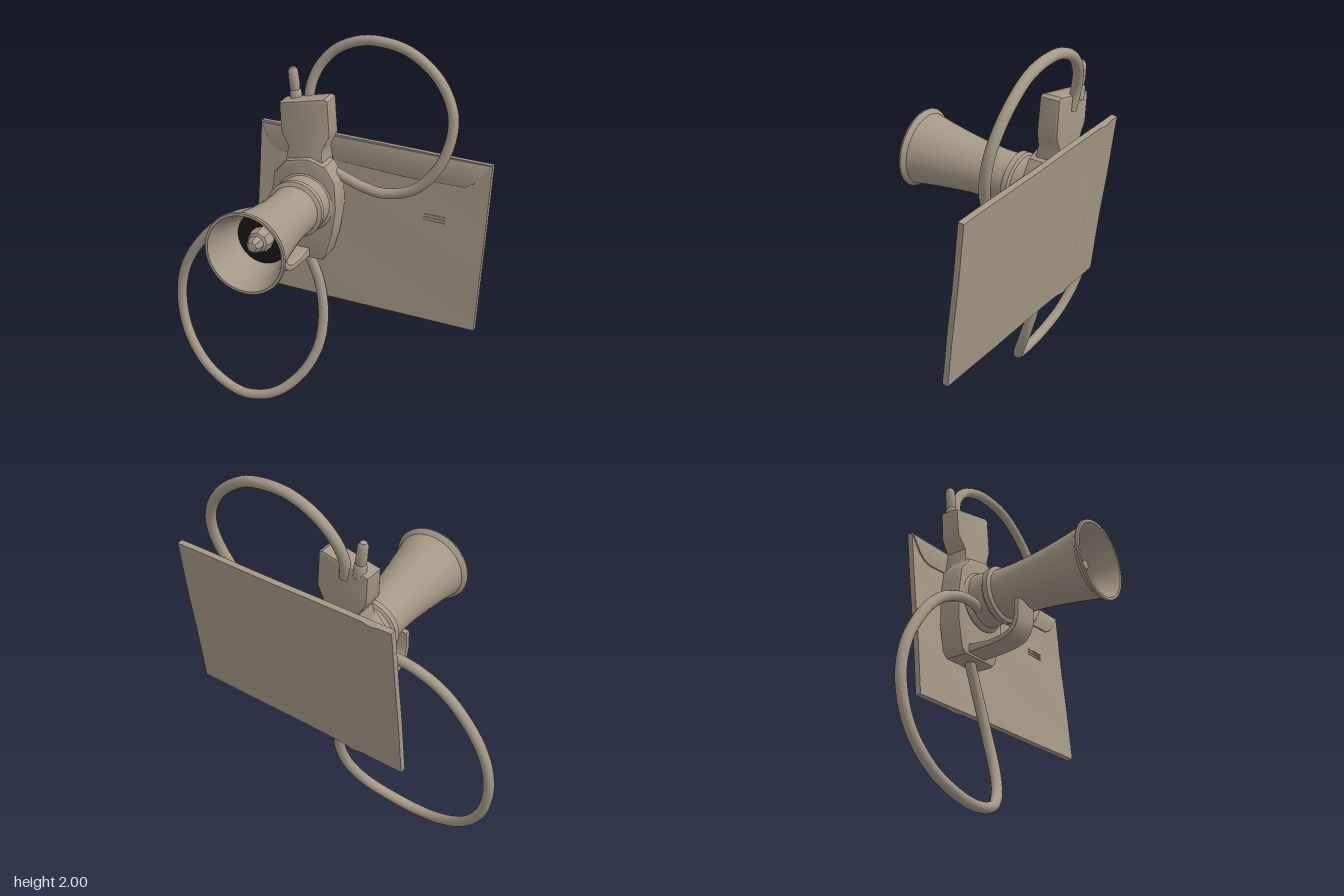
import * as THREE from 'three';
import { toCreasedNormals } from 'three/addons/utils/BufferGeometryUtils.js';

const clay = new THREE.MeshStandardMaterial({ color: 0xa69886 });
clay.name = 'warm clay';
const black = new THREE.MeshStandardMaterial({ color: 0x161616 });
black.name = 'black';

const V2 = (p) => new THREE.Vector2(...p);
const V3 = (p) => new THREE.Vector3(...p);

function part(parent, name, geometry, material = clay) {
  const mesh = new THREE.Mesh(geometry, material);
  mesh.name = name;
  parent.add(mesh);
  return mesh;
}

// Solid from a flat outline, with a small rounded edge; spans z = 0..depth
function slab(points, depth, bevel) {
  const g = new THREE.ExtrudeGeometry(new THREE.Shape(points.map(V2)), {
    depth: depth - 2 * bevel, bevelEnabled: bevel > 0, bevelSize: bevel,
    bevelThickness: bevel, bevelOffset: -bevel, bevelSegments: 2,
  });
  return g.translate(0, 0, bevel);
}

// Turned shape with its axis along +z
function turned(points, sides) {
  const g = new THREE.LatheGeometry(points.map(V2), sides).rotateX(Math.PI / 2);
  return toCreasedNormals(g, 0.6);
}

function cable(points, radius) {
  const curve = new THREE.CatmullRomCurve3(points.map(V3), false, 'centripetal');
  return new THREE.TubeGeometry(curve, 110, radius, 14, false);
}

// Move vertices by a rule
function reshape(g, rule) {
  const p = g.attributes.position;
  for (let i = 0; i < p.count; i++) {
    p.setXYZ(i, ...rule(p.getX(i), p.getY(i), p.getZ(i)));
  }
  return g;
}

export function createModel() {
  const model = new THREE.Group();
  model.name = 'hornAndEnvelope';

  // Envelope: thin, slightly crumpled, leaning back
  const envelope = new THREE.Group();
  envelope.name = 'envelope';
  envelope.position.set(0.187, 1.03, -0.375);
  envelope.rotation.set(-0.115, -0.022, 0);
  model.add(envelope);
  const paper = reshape(new THREE.BoxGeometry(1.235, 0.88, 0.03, 50, 36, 1), (x, y, z) => {
    const ripple = 0.002 * Math.sin(7 * x + 3 * y) * Math.cos(9 * y - 2 * x);
    const fold = z < 0 ? 0.009 * Math.exp(-(((x + 0.42 + 0.2 * y) / 0.03) ** 2)) : 0;
    return [x, y * (1 - 0.022 * x), z + ripple - fold];
  });
  part(envelope, 'envelopeBody', toCreasedNormals(paper, 0.7));
  const flap = slab([[-0.615, 0.435], [-0.57, 0.345], [-0.54, 0.315], [-0.5, 0.3],
    [-0.2, 0.31], [0.2, 0.295], [0.49, 0.3], [0.54, 0.33], [0.612, 0.43]], 0.009, 0.002);
  part(envelope, 'envelopeFlap', toCreasedNormals(flap, 0.6)).position.z = 0.013;
  for (let i = 0; i < 3; i++) {
    const line = part(envelope, 'envelopeLine', new THREE.BoxGeometry(0.11, 0.005, 0.006));
    line.position.set(0.355, 0.095 + i * 0.015, 0.017);
  }

  // Mounting plate behind the horn
  const plate = slab([[-0.25, 0.87], [-0.225, 0.84], [0, 0.845], [0.02, 0.87], [0.055, 1.0],
    [0.075, 1.15], [0.065, 1.29], [0.01, 1.37], [-0.08, 1.395], [-0.2, 1.37], [-0.27, 1.29],
    [-0.287, 1.15], [-0.28, 1.0]], 0.125, 0.014);
  const mount = part(model, 'mountingPlate', toCreasedNormals(plate, 0.6));
  mount.position.z = -0.355;

  // Upper block, flaring forward toward the horn
  const block = slab([[-0.26, 1.645], [-0.25, 1.5], [-0.205, 1.43], [-0.22, 1.3], [0.0, 1.3],
    [-0.02, 1.43], [0.015, 1.51], [0.0, 1.69], [-0.02, 1.7]], 0.105, 0.012);
  block.translate(0, 0, -0.385);
  reshape(block, (x, y, z) => [x, y, z > -0.33 ? z + 0.16 * Math.max(0, 1.54 - y) : z]);
  part(model, 'upperBlock', toCreasedNormals(block, 0.6));

  // Short antenna
  const antenna = turned([[0, 0], [0.03, 0], [0.03, 0.06], [0.024, 0.07], [0.027, 0.09],
    [0.025, 0.165], [0.016, 0.182], [0, 0.187]], 14).rotateX(-Math.PI / 2);
  const stub = part(model, 'antenna', antenna);
  stub.position.set(-0.2, 1.625, -0.362);
  stub.rotation.z = 0.13;

  // Horn with collar rings, rolled lip and inner throat
  const horn = new THREE.Group();
  horn.name = 'horn';
  horn.position.set(-0.096, 1.165, -0.25);
  horn.rotation.set(-0.055, 0.023, 0);
  model.add(horn);
  part(horn, 'hornShell', turned([[0, -0.04], [0.155, -0.04], [0.16, 0.015], [0.14, 0.035],
    [0.135, 0.11], [0.147, 0.12], [0.147, 0.148], [0.128, 0.158], [0.127, 0.25], [0.134, 0.36],
    [0.148, 0.47], [0.167, 0.59], [0.183, 0.67], [0.198, 0.682], [0.203, 0.692], [0.2, 0.702],
    [0.187, 0.702], [0.165, 0.64], [0.148, 0.57], [0.13, 0.5]], 40));
  part(horn, 'throat', new THREE.CircleGeometry(0.132, 40), black).position.z = 0.502;
  part(horn, 'centrePlug', turned([[0.058, 0.49], [0.058, 0.55], [0.05, 0.565], [0.036, 0.57],
    [0.036, 0.605], [0.024, 0.622], [0, 0.628]], 8));

  // Bent strap handle below the horn
  const strap = slab([[0.06, 1.07], [0.06, 0.97], [0.045, 0.925], [0.015, 0.892], [-0.04, 0.873],
    [-0.12, 0.862], [-0.27, 0.855], [-0.27, 0.905], [-0.12, 0.892], [-0.04, 0.903],
    [0.0, 0.92], [0.022, 0.945], [0.032, 0.98], [0.032, 1.07]], 0.13, 0.006);
  strap.rotateY(-Math.PI / 2);
  part(model, 'handle', toCreasedNormals(strap, 0.6)).position.x = -0.068;

  // Looped cables
  part(model, 'upperCable', cable([[-0.13, 1.6, -0.37], [-0.14, 1.69, -0.385], [-0.11, 1.8, -0.41],
    [-0.03, 1.9, -0.43], [0.08, 1.957, -0.437], [0.19, 1.973, -0.438], [0.35, 1.945, -0.435],
    [0.5, 1.84, -0.428], [0.585, 1.7, -0.41], [0.597, 1.58, -0.39], [0.55, 1.42, -0.36],
    [0.44, 1.29, -0.345], [0.29, 1.238, -0.34], [0.17, 1.255, -0.335], [0.03, 1.31, -0.325]], 0.026));
  part(model, 'lowerCable', cable([[-0.15, 1.08, -0.19], [-0.25, 1.092, -0.18], [-0.37, 1.07, -0.17],
    [-0.52, 0.995, -0.158], [-0.66, 0.85, -0.147], [-0.755, 0.68, -0.14], [-0.785, 0.5, -0.132],
    [-0.74, 0.29, -0.11], [-0.62, 0.13, -0.08], [-0.46, 0.045, -0.055], [-0.34, 0.028, -0.05],
    [-0.2, 0.065, -0.075], [-0.08, 0.17, -0.14], [-0.01, 0.32, -0.21], [0, 0.48, -0.26],
    [-0.035, 0.67, -0.29], [-0.09, 0.81, -0.295], [-0.12, 0.88, -0.295]], 0.027));

  return model;
}
